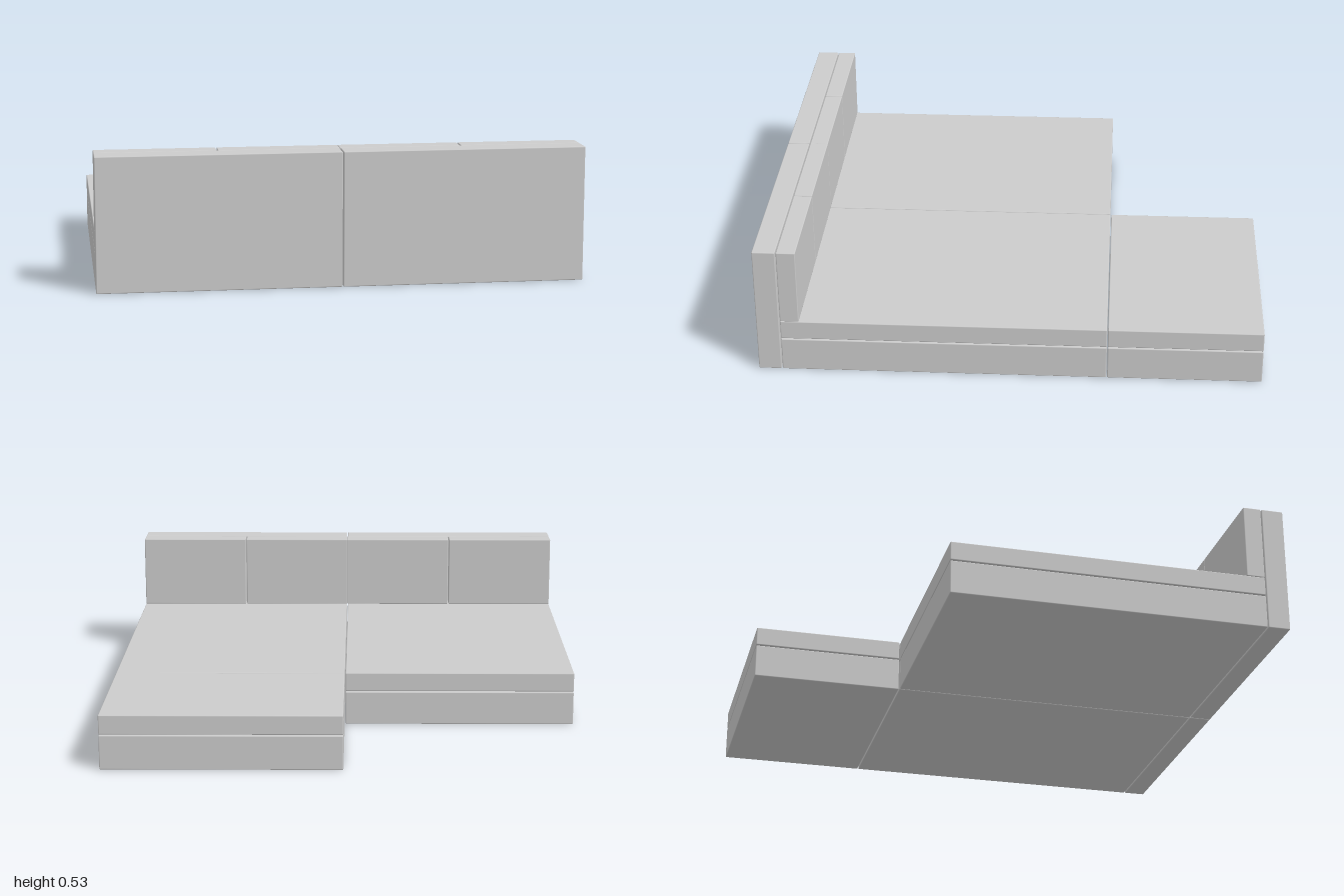
import * as THREE from 'three';
import { RoundedBoxGeometry } from 'three/addons/geometries/RoundedBoxGeometry.js';

const GAP = 0.002; // half of the seam left between neighbouring blocks

export function createModel() {
  const group = new THREE.Group();
  const material = new THREE.MeshStandardMaterial({ color: 0xcccccc });

  // Softly edged block filling the given extents
  function block(name, [x0, x1], [y0, y1], [z0, z1]) {
    const geometry = new RoundedBoxGeometry(x1 - x0, y1 - y0, z1 - z0, 2, 0.004);
    const mesh = new THREE.Mesh(geometry, material);
    mesh.name = name;
    mesh.position.set((x0 + x1) / 2, (y0 + y1) / 2, (z0 + z1) / 2);
    group.add(mesh);
  }

  // Base with a cushion on top
  function seat(name, xs, zs) {
    block(name + 'Base', xs, [0, 0.14 - GAP], zs);
    block(name + 'Cushion', xs, [0.14 + GAP, 0.22], zs);
  }

  const halves = { right: [-0.95, -GAP], left: [GAP, 0.95] };
  for (const [side, xs] of Object.entries(halves)) {
    seat(side + 'Seat', xs, [-0.387 + GAP, 0.907 - GAP]);
    block(side + 'BackFrame', xs, [0, 0.53], [0.907 + GAP, 1]);
  }

  // Chaise extension behind the left seat
  seat('chaise', halves.left, [-1, -0.387 - GAP]);

  // Row of four back cushions; the middle two touch
  const width = 0.475;
  for (let i = 0; i < 4; i++) {
    const x = -0.95 + i * width;
    const x0 = i % 2 ? x + GAP : x;
    const x1 = i % 2 ? x + width : x + width - GAP;
    block('backCushion' + (i + 1), [x0, x1], [0.22, 0.53], [0.83, 0.907 - GAP]);
  }

  return group;
}
